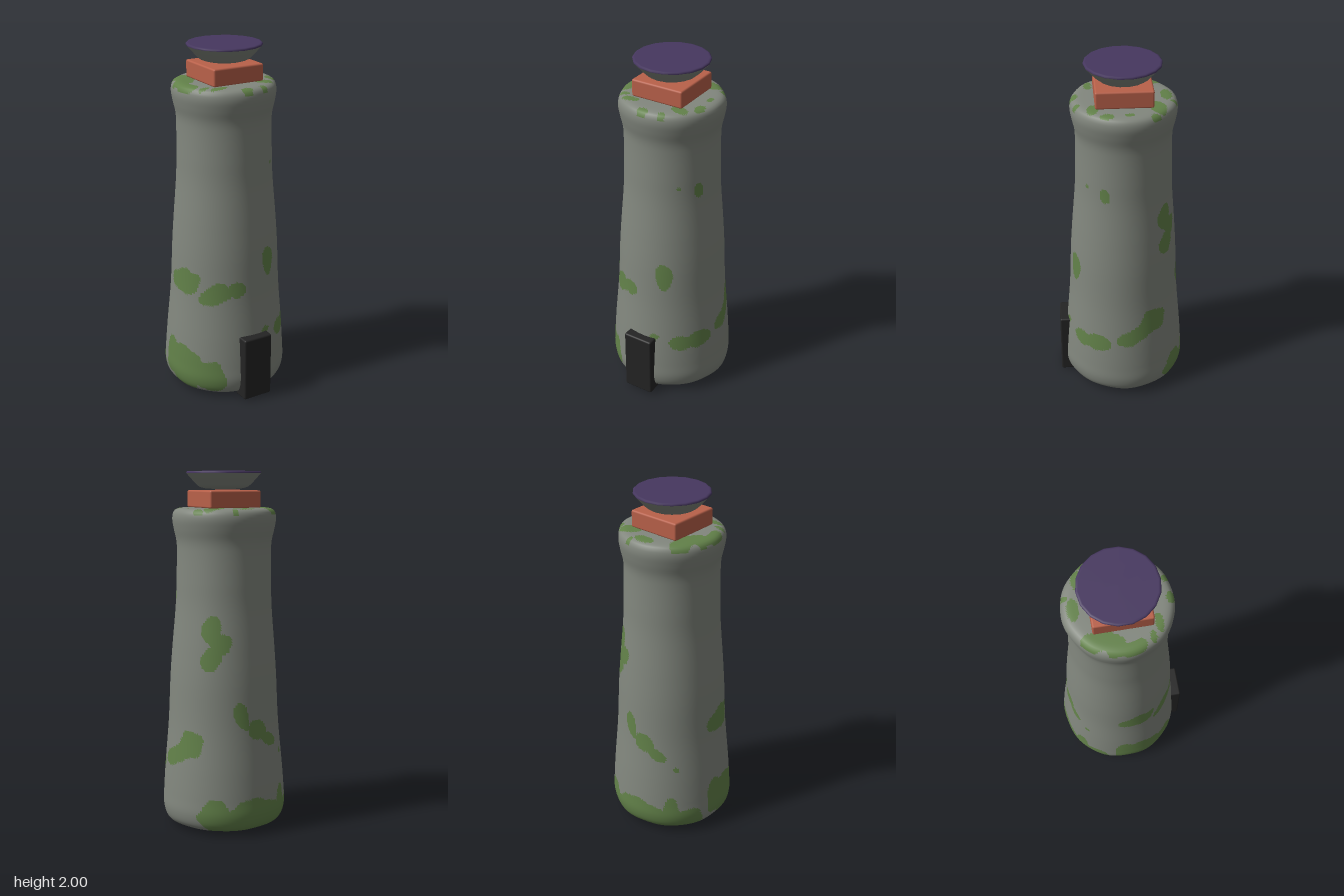
import * as THREE from 'three';
import { RoundedBoxGeometry } from 'three/addons/geometries/RoundedBoxGeometry.js';

const CX = -0.003, CZ = -0.016; // axis of the tower

// Moss on the wall: angle from the front (degrees), height, half width, half height, tilt
const WALL_MOSS = [
  [-74, 0.70, 0.10, 0.075, 0.1], [-40, 0.64, 0.09, 0.06, 0.3], [-17, 0.68, 0.055, 0.045, 0.5],
  [-86, 0.68, 0.07, 0.06, 0],
  [23, 0.80, 0.052, 0.08, 0.2],
  [40, 0.355, 0.07, 0.05, 0], [60, 0.365, 0.075, 0.055, 0.1], [14, 0.40, 0.03, 0.02, 0],
  [-72, 0.17, 0.13, 0.13, 0], [-44, 0.14, 0.09, 0.11, -0.3], [-90, 0.19, 0.08, 0.11, 0],
  [118, 0.51, 0.085, 0.085, 0.3], [98, 0.43, 0.11, 0.05, 0.4],
  [64, 1.33, 0.03, 0.045, 0], [40, 1.355, 0.015, 0.014, 0],
  [141, 1.14, 0.055, 0.08, 0.1], [150, 1.08, 0.06, 0.06, 0], [140, 0.99, 0.055, 0.07, 0.2],
  [173, 0.67, 0.04, 0.08, 0.4], [190, 0.60, 0.07, 0.05, -0.8], [205, 0.53, 0.06, 0.035, -0.4],
  [225, 0.44, 0.016, 0.016, 0],
  [148, 0.11, 0.10, 0.10, 0.2], [175, 0.08, 0.16, 0.13, 0], [205, 0.07, 0.15, 0.11, 0],
  [220, 0.15, 0.05, 0.10, 0], [235, 0.07, 0.10, 0.10, 0],
];
// Moss on the roof and the underside: x, z, half width, half depth
const ROOF_MOSS = [
  [0, -0.24, 0.06, 0.032], [0.06, -0.28, 0.016, 0.02], [0.13, -0.19, 0.06, 0.042],
  [0.23, -0.17, 0.022, 0.03], [-0.2, -0.15, 0.055, 0.09], [-0.23, -0.07, 0.055, 0.06],
  [-0.26, 0, 0.035, 0.07], [-0.245, 0.06, 0.03, 0.03], [0.22, -0.03, 0.018, 0.03],
  [0.225, 0.085, 0.026, 0.042], [0.15, 0.155, 0.055, 0.035], [-0.02, 0.25, 0.028, 0.022],
  [0.09, 0.24, 0.02, 0.02], [-0.14, 0.17, 0.05, 0.022], [-0.21, 0.13, 0.03, 0.016],
];
const BASE_MOSS = [[0.07, -0.02, 0.16, 0.12], [0.08, -0.2, 0.13, 0.14], [0, -0.28, 0.18, 0.08]];

const inEllipse = (dx, dy, w, h, tilt, wobble) => {
  const c = Math.cos(tilt), s = Math.sin(tilt);
  return Math.hypot((dx * c + dy * s) / w, (dy * c - dx * s) / h) < 1 + wobble;
};

function isMossy(x, y, z) {
  const r = Math.hypot(x, z), a = Math.atan2(x, z);
  const wobble = 0.12 * Math.sin(23 * x + 31 * y + 9 * z) + 0.08 * Math.sin(47 * z - 38 * y + 13 * x);
  const flat = list => list.some(([bx, bz, w, h]) => inEllipse(x + CX - bx, z + CZ - bz, w, h, 0, wobble));
  if (y > 1.765) return flat(ROOF_MOSS);
  if (y < 0.04 && r < 0.31) return flat(BASE_MOSS);
  return WALL_MOSS.some(([deg, by, w, h, tilt]) => {
    let da = a - THREE.MathUtils.degToRad(deg);
    da = Math.atan2(Math.sin(da), Math.cos(da));
    return inEllipse(da * r, y - by, w, h, tilt, wobble);
  });
}

// Finely divided lathe whose faces are sorted into stone and moss groups
function towerGeometry() {
  const profile = [
    [0, 0], [0.1, 0.001], [0.2, 0.005], [0.28, 0.017], [0.33, 0.045], [0.35, 0.11], [0.347, 0.2],
    [0.336, 0.35], [0.314, 0.6], [0.302, 0.85], [0.29, 1.02], [0.271, 1.25], [0.266, 1.4],
    [0.263, 1.55], [0.266, 1.62], [0.28, 1.685], [0.288, 1.74], [0.28, 1.78], [0.255, 1.797],
    [0.2, 1.801], [0.1, 1.801], [0, 1.801],
  ].map(([r, y]) => new THREE.Vector2(r, y));
  const points = new THREE.SplineCurve(profile).getSpacedPoints(180);
  points.forEach(p => { p.x = Math.max(p.x, 0); p.y = Math.max(p.y, 0); });
  const geo = new THREE.LatheGeometry(points, 180);

  // Slightly uneven, hand-shaped wall
  const pos = geo.attributes.position;
  for (let i = 0; i < pos.count; i++) {
    const x = pos.getX(i), y = pos.getY(i), z = pos.getZ(i), a = Math.atan2(x, z);
    const k = 1 + 0.006 * Math.sin(5 * a + 3 * y) + 0.005 * Math.sin(9 * a - 2 * y);
    pos.setXYZ(i, x * k, y, z * k);
  }

  const stone = [], moss = [], index = geo.index.array;
  for (let i = 0; i < index.length; i += 3) {
    const tri = [index[i], index[i + 1], index[i + 2]];
    const mid = get => (get(tri[0]) + get(tri[1]) + get(tri[2])) / 3;
    const mossy = isMossy(mid(n => pos.getX(n)), mid(n => pos.getY(n)), mid(n => pos.getZ(n)));
    (mossy ? moss : stone).push(...tri);
  }
  geo.setIndex(stone.concat(moss));
  geo.clearGroups();
  geo.addGroup(0, stone.length, 0);
  geo.addGroup(stone.length, moss.length, 1);
  return geo;
}

export function createModel() {
  const material = (name, color) => Object.assign(new THREE.MeshStandardMaterial({ color }), { name });
  const stone = material('grey stone', 0x82877e);
  const moss = material('green moss', 0x628149);
  const clay = material('orange clay', 0xb9614a);
  const purple = material('purple', 0x46375f);
  const black = material('black door', 0x242424);

  const model = new THREE.Group();
  model.name = 'tower';
  const add = (name, geo, mat, x, y, z) => {
    const mesh = new THREE.Mesh(geo, mat);
    mesh.name = name;
    mesh.position.set(x, y, z);
    model.add(mesh);
    return mesh;
  };

  add('towerBody', towerGeometry(), [stone, moss], CX, 0, CZ);

  // Door slab standing against the wall
  add('door', new RoundedBoxGeometry(0.178, 0.378, 0.095, 2, 0.01), black, -0.004, 0.2, 0.3175);

  // Square block on the roof
  add('topBlock', new RoundedBoxGeometry(0.308, 0.096, 0.308, 2, 0.01), clay, CX, 1.847, -0.012);

  // Shallow bowl with its filling
  const bowl = [[0, 1.903], [0.08, 1.903], [0.11, 1.906], [0.135, 1.914], [0.155, 1.93], [0.207, 1.988]]
    .map(([r, y]) => new THREE.Vector2(r, y));
  add('bowl', new THREE.LatheGeometry(bowl, 18), stone, CX, 0, -0.012);
  const filling = [[0.207, 1.988], [0.208, 1.994], [0.203, 1.999], [0.195, 2], [0, 2]]
    .map(([r, y]) => new THREE.Vector2(r, y));
  add('bowlFilling', new THREE.LatheGeometry(filling, 18), purple, CX, 0, -0.012);

  return model;
}
